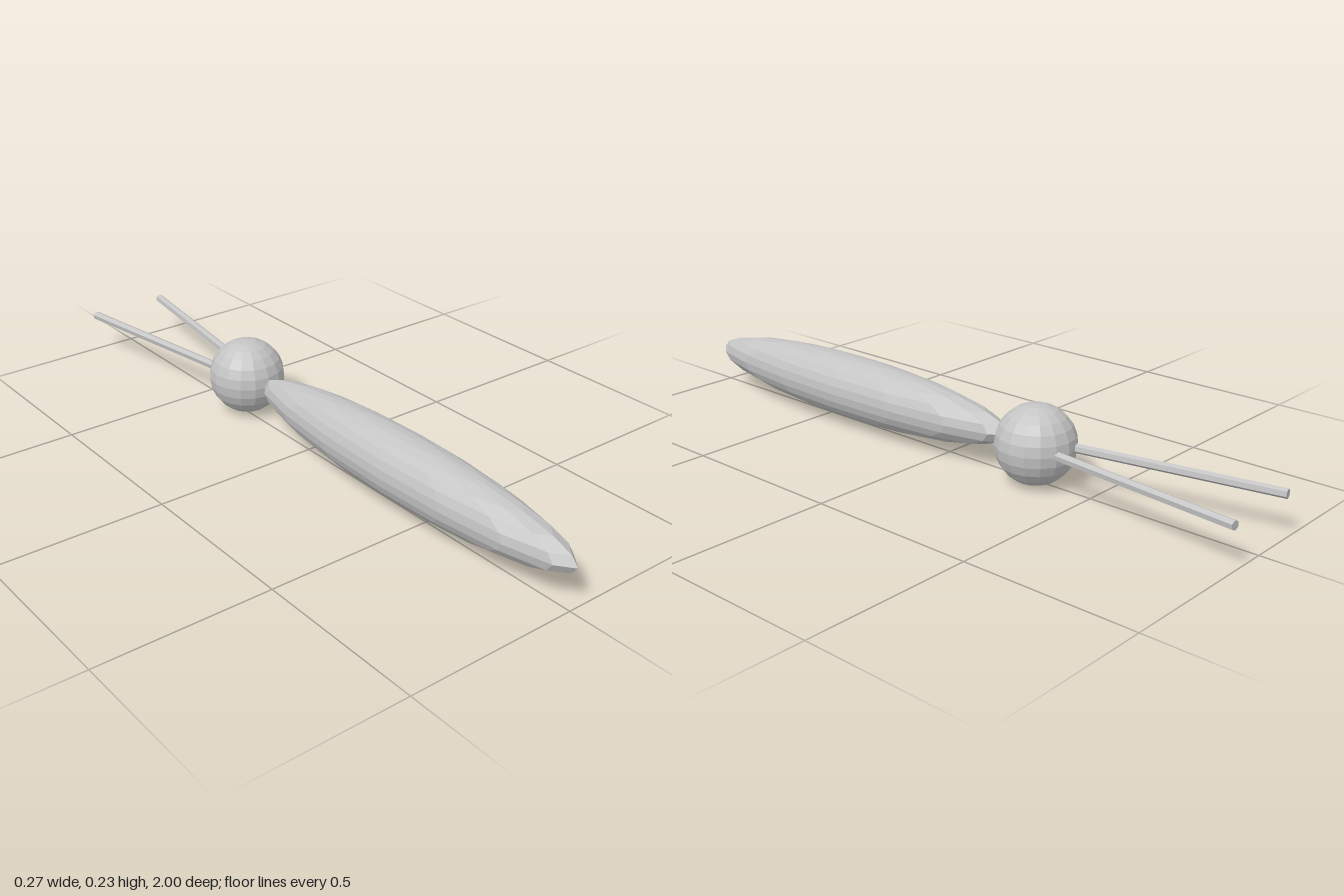
import * as THREE from 'three';

export function createModel() {
  const model = new THREE.Group();
  const grey = new THREE.MeshStandardMaterial({ color: 0xc4c4c4 });
  grey.name = 'light grey';
  grey.flatShading = true;
  const centreX = 0.014, centreY = 0.117;

  // Faceted ball stretched along z
  function ball(name, radius, length, z) {
    const mesh = new THREE.Mesh(new THREE.SphereGeometry(1, 16, 12), grey);
    mesh.name = name;
    mesh.scale.set(radius, radius, length);
    mesh.position.set(centreX, centreY, z);
    model.add(mesh);
  }
  ball('body', 0.095, 0.616, 0.384);
  ball('head', 0.114, 0.114, -0.325);

  // Thin rod between two points
  function rod(name, start, end) {
    const a = new THREE.Vector3(...start), b = new THREE.Vector3(...end);
    const dir = b.clone().sub(a);
    const mesh = new THREE.Mesh(new THREE.CylinderGeometry(0.0135, 0.0135, dir.length(), 6), grey);
    mesh.name = name;
    mesh.position.copy(a).add(b).multiplyScalar(0.5);
    mesh.quaternion.setFromUnitVectors(new THREE.Vector3(0, 1, 0), dir.normalize());
    model.add(mesh);
  }
  rod('rightAntenna', [-0.026, 0.118, -0.41], [-0.125, 0.123, -0.998]);
  rod('leftAntenna', [0.048, 0.118, -0.41], [0.122, 0.123, -0.998]);

  return model;
}
